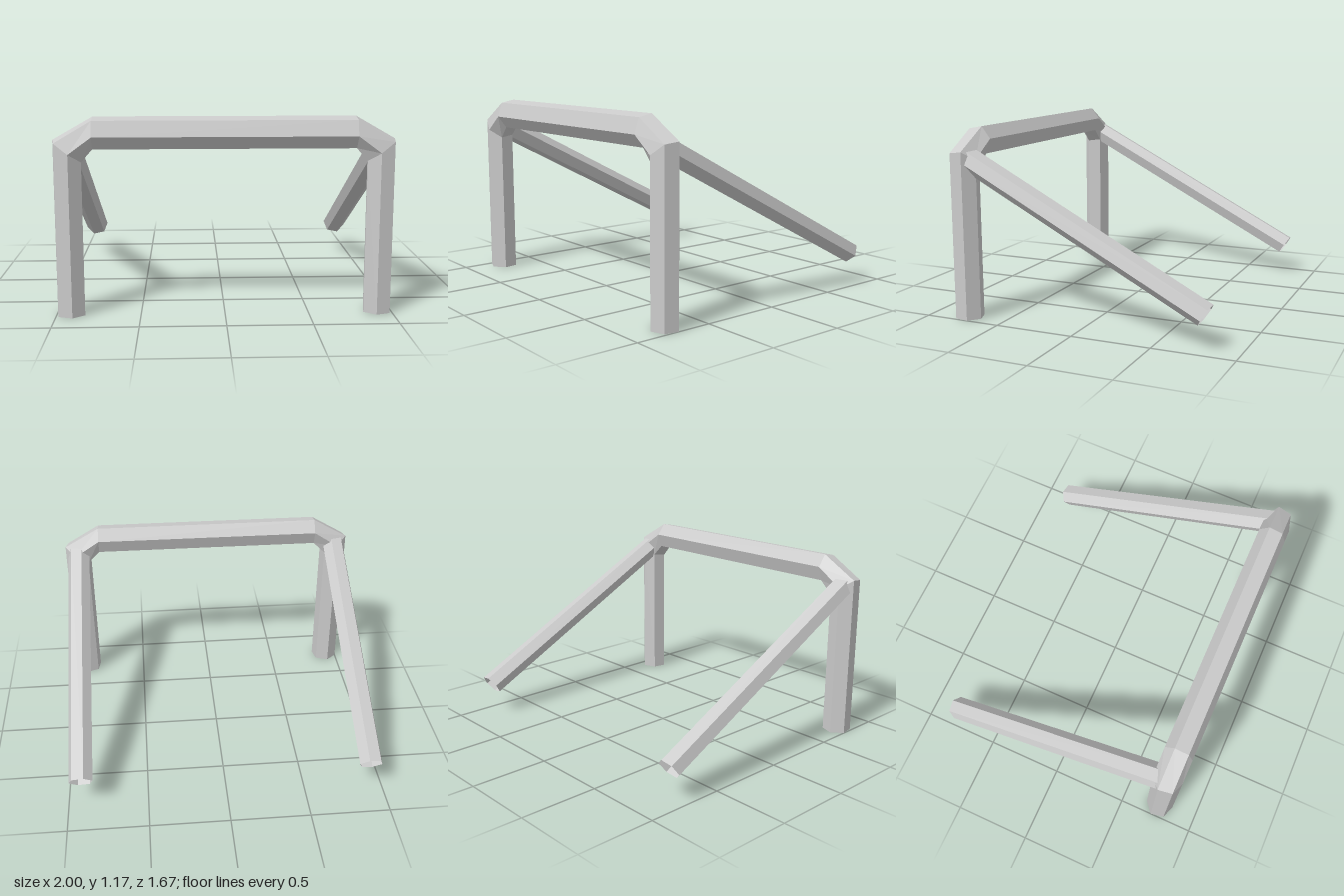
import * as THREE from 'three';

const SIDES = 6;

// Hexagon corners as [cos, sin] offsets, starting at the given angle in degrees
function hexagon(radius, startDeg) {
  return Array.from({ length: SIDES }, (_, k) => {
    const a = THREE.MathUtils.degToRad(startDeg + 60 * k);
    return [radius * Math.cos(a), radius * Math.sin(a)];
  });
}

// Skin a run of rings into an open-ended, flat-sided tube
function skin(rings) {
  const positions = [];
  for (let i = 0; i < rings.length - 1; i++) {
    for (let k = 0; k < SIDES; k++) {
      const n = (k + 1) % SIDES;
      const a = rings[i][k], b = rings[i][n];
      const c = rings[i + 1][n], d = rings[i + 1][k];
      positions.push(...a, ...d, ...c, ...a, ...c, ...b);
    }
  }
  const geometry = new THREE.BufferGeometry();
  geometry.setAttribute('position', new THREE.Float32BufferAttribute(positions, 3));
  geometry.computeVertexNormals();
  return geometry;
}

export function createModel() {
  const group = new THREE.Group();
  const material = new THREE.MeshStandardMaterial({
    color: 0xcccccc, flatShading: true, side: THREE.DoubleSide,
  });
  const add = (name, rings) => {
    const mesh = new THREE.Mesh(skin(rings), material);
    mesh.name = name;
    group.add(mesh);
  };

  // Main hoop: two upright legs, mitred shoulders and a crossbar.
  // Section runs forward (z) and outward from the hoop's middle.
  const hoopSection = hexagon(0.09, 10).map(([w, s]) => [w, -s]);
  const hoopZ = 0.7475;
  const foot = (s) => hoopSection.map(([w, u]) => [s * (0.915 + u), 0, hoopZ + w]);
  const shoulder = (s) => hoopSection.map(([w, u]) => [s * (0.915 + u), 0.978 + 0.735 * u, hoopZ + w]);
  const barEnd = (s) => hoopSection.map(([w, u]) => [s * 0.765, 1.0825 + 1.09 * u, hoopZ + w]);
  add('mainHoop', [foot(1), shoulder(1), barEnd(1), barEnd(-1), shoulder(-1), foot(-1)]);

  // Rear braces: sloping tubes from the shoulders down to the back
  const braceSection = hexagon(0.0766, -13);
  const braceRing = (s, y, z) =>
    braceSection.map(([u, v]) => [s * (0.91 + u), y + 0.8 * v, z - 0.51 * v]);
  for (const s of [1, -1]) {
    const rings = [braceRing(s, 0.993, 0.73), braceRing(s, 0.2035, -0.793)];
    if (s < 0) rings.reverse(); // keeps the mirrored faces pointing outward
    add(s > 0 ? 'leftBrace' : 'rightBrace', rings);
  }

  return group;
}
